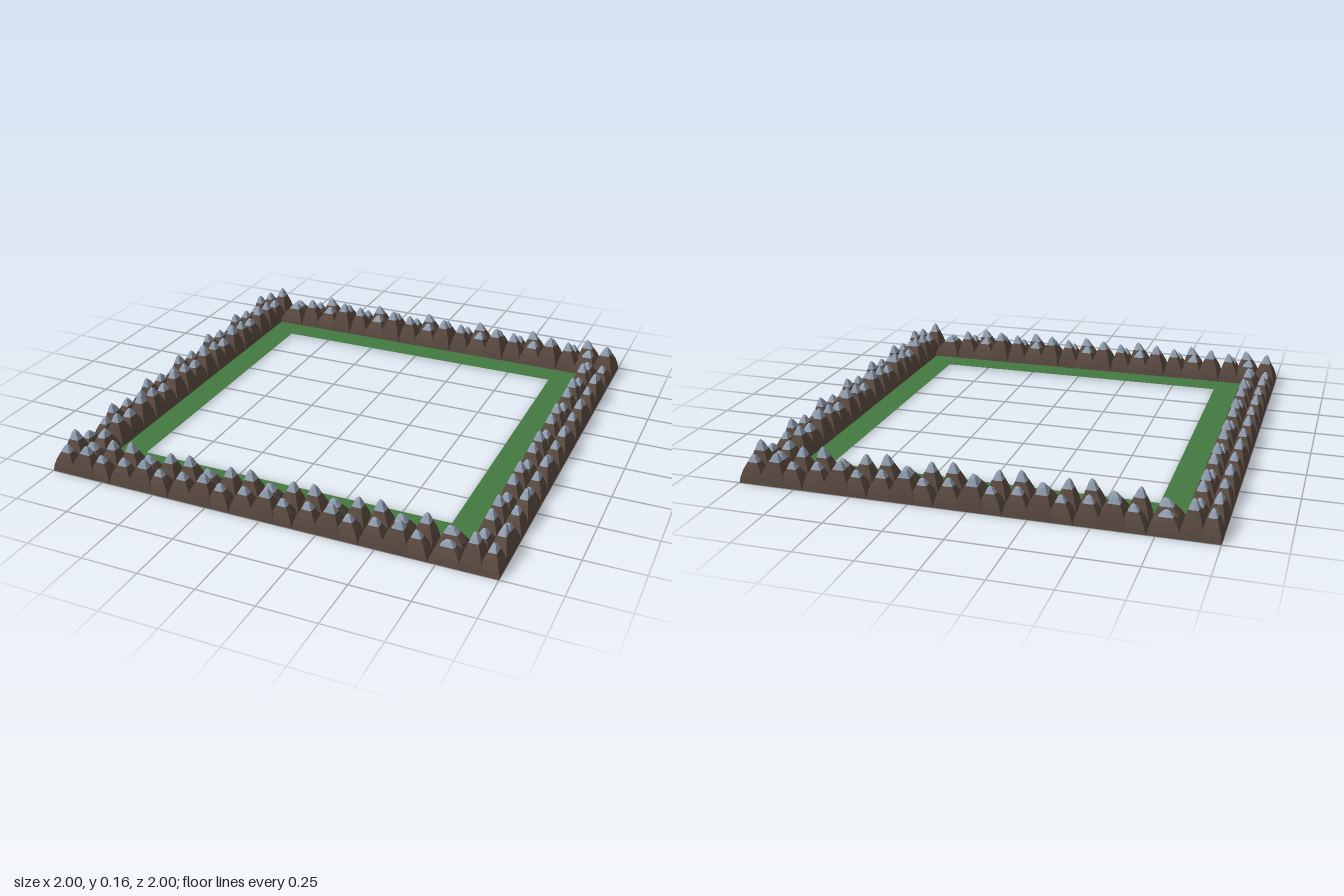
import * as THREE from 'three';
import { mergeGeometries } from 'three/addons/utils/BufferGeometryUtils.js';

const TILE = 2 / 7;       // the border is a ring of square tiles, seven per side
const INNER = 5 / 14 * 2; // half-width of the open middle
const FOOT = 0.838;       // where the mountains meet the grass

// Slope from foot to summit: [share of footprint, share of height]
const SLOPE = [[1, 0], [0.9, 0.24], [0.72, 0.48], [0.44, 0.72], [0.2, 0.92], [0, 1]];
const SNOW_LINE = 3;
const CORNERS = [[1, 0], [1, 1], [0, 1], [-1, 1], [-1, 0], [-1, -1], [0, -1], [1, -1]];

// Square-plan mountain between slope steps `from` and `to`
function slopeGeometry({ x0, x1, z0, z1, px, pz, h }, from, to) {
  const pos = [];
  const point = (step, i) => {
    const [t, y] = SLOPE[step];
    const [cx, cz] = CORNERS[i % 8];
    const bx = cx > 0 ? x1 : cx < 0 ? x0 : px;
    const bz = cz > 0 ? z1 : cz < 0 ? z0 : pz;
    // pull the corners in slightly as the mountain rises
    const k = cx && cz ? t * (0.85 + 0.15 * t) : t;
    return [px + (bx - px) * k, y * h, pz + (bz - pz) * k];
  };
  for (let s = from; s < to; s++) {
    for (let i = 0; i < 8; i++) {
      const a = point(s, i), b = point(s, i + 1), c = point(s + 1, i), d = point(s + 1, i + 1);
      pos.push(...a, ...c, ...d);
      if (s < SLOPE.length) pos.push(...a, ...d, ...b);
    }
  }
  const g = new THREE.BufferGeometry();
  g.setAttribute('position', new THREE.Float32BufferAttribute(pos, 3));
  g.computeVertexNormals();
  return g;
}

// One side's mountains: two rows of three peaks on each of six tiles
function sideMountains() {
  const list = [];
  const rows = [
    { z0: FOOT, z1: 0.935, pz: 0.887, peaks: [[0.047, 0.158], [0.135, 0.12], [0.243, 0.148]] },
    { z0: 0.915, z1: 1, pz: 0.96, peaks: [[0.055, 0.122], [0.165, 0.142], [0.228, 0.108]] },
  ];
  const cuts = [0, 0.098, 0.195, TILE];
  rows.forEach(({ z0, z1, pz, peaks }, r) => {
    for (let tile = 0; tile < 6; tile++) {
      const x = -1 + tile * TILE;
      peaks.forEach(([dx, h], i) => {
        list.push({
          x0: x + cuts[i] - (i > 0 ? 0.012 : 0),
          x1: x + cuts[i + 1] + (i < 2 ? 0.012 : 0),
          z0, z1, px: x + dx, pz: pz + (i === 1 ? 0.008 : 0), h,
        });
      });
    }
    // lower peak that joins this side to the next corner
    list.push({ x0: INNER, x1: 0.85, z0, z1, px: 0.765 + r * 0.02, pz, h: 0.115 - r * 0.015 });
  });
  return list;
}

export function createModel() {
  const model = new THREE.Group();
  const material = (color) => new THREE.MeshStandardMaterial({
    color, flatShading: true, side: THREE.DoubleSide,
  });
  const rock = material(0x5c4c42);
  const snow = material(0x95a2b4);
  const grass = material(0x447a40);

  // Grass ring around the open middle
  const square = (Type, s) => new Type([
    new THREE.Vector2(-s, -s), new THREE.Vector2(s, -s),
    new THREE.Vector2(s, s), new THREE.Vector2(-s, s),
  ]);
  const ring = square(THREE.Shape, FOOT + 0.01);
  ring.holes.push(square(THREE.Path, INNER));
  const ground = new THREE.Mesh(new THREE.ShapeGeometry(ring), grass);
  ground.name = 'grassRing';
  ground.rotation.x = -Math.PI / 2;
  ground.position.y = 0.006;
  model.add(ground);

  // The same mountain range turned onto all four sides
  const mountains = sideMountains();
  const rockGeo = mergeGeometries(mountains.map((m) => slopeGeometry(m, 0, SNOW_LINE)));
  const snowGeo = mergeGeometries(mountains.map((m) => slopeGeometry(m, SNOW_LINE, SLOPE.length - 1)));
  ['front', 'right', 'back', 'left'].forEach((side, k) => {
    const range = new THREE.Group();
    range.name = side + 'MountainRange';
    const slopes = new THREE.Mesh(rockGeo, rock);
    slopes.name = 'rockSlopes';
    const caps = new THREE.Mesh(snowGeo, snow);
    caps.name = 'snowCaps';
    range.add(slopes, caps);
    range.rotation.y = -k * Math.PI / 2;
    model.add(range);
  });
  return model;
}
